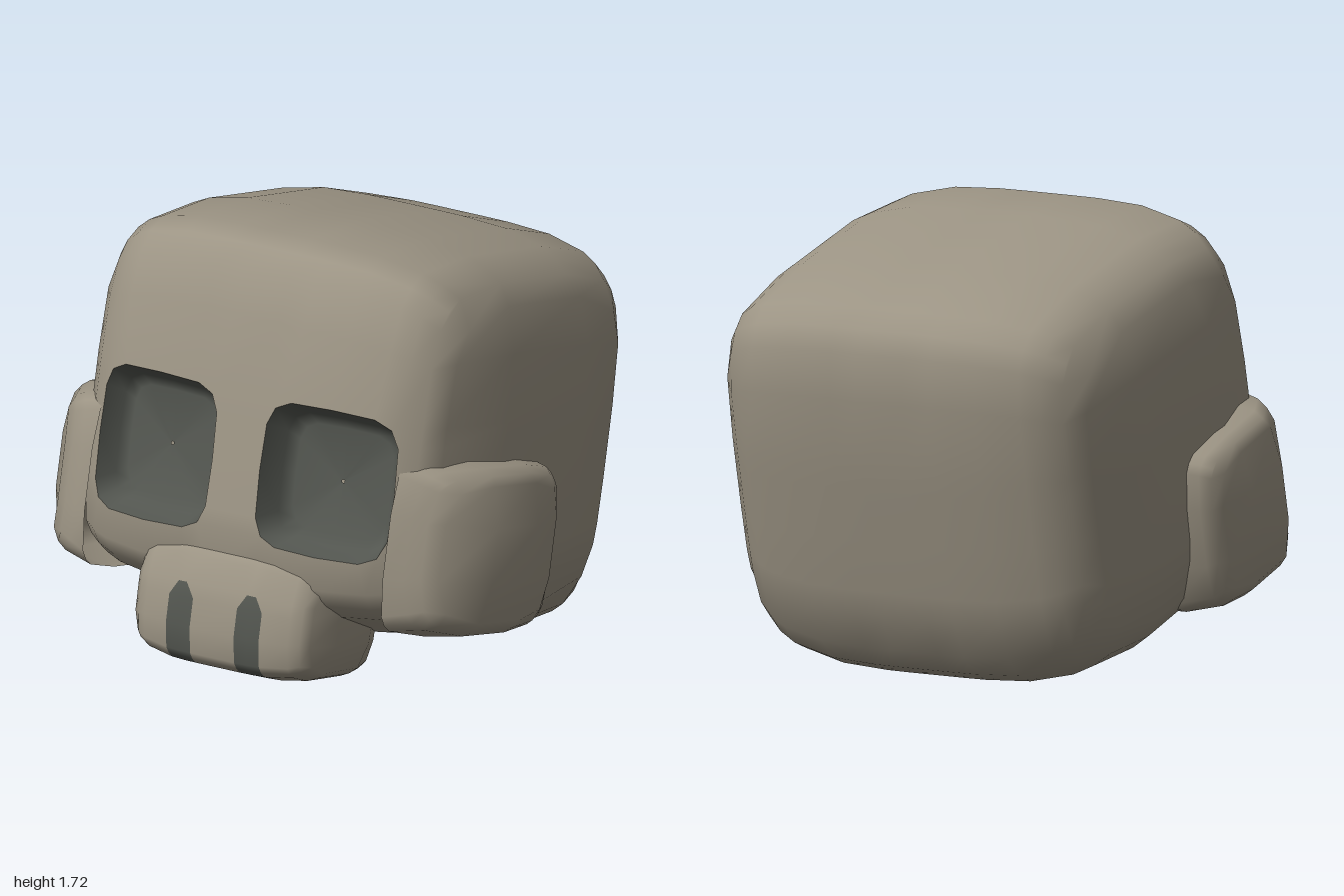
import * as THREE from 'three';
import { mergeVertices } from 'three/addons/utils/BufferGeometryUtils.js';

const BOX = [-1, -0.82, -0.35, 0.35, 0.82, 1];
const powSum = (a, b, n) => Math.pow(Math.abs(a) ** n + Math.abs(b) ** n, 1 / n);

// Bulging box with rounded edges, made from grid levels on each axis.
// adjust(p, id) moves a unit vertex, place(p) a finished one,
// sort(ids, points) gives 0 = bone, 1 = dark, -1 = left open.
function softBox({ lx = BOX, ly = BOX, lz = BOX, half, center, round = 5, adjust, place, sort }) {
  const seg = [lx.length - 1, ly.length - 1, lz.length - 1];
  const box = new THREE.BoxGeometry(2, 2, 2, ...seg);
  const pos = box.attributes.position;
  const ids = [], points = [];
  for (let i = 0; i < pos.count; i++) {
    const id = [pos.getX(i), pos.getY(i), pos.getZ(i)].map((v, k) => Math.round((v + 1) / 2 * seg[k]));
    const p = new THREE.Vector3(lx[id[0]], ly[id[1]], lz[id[2]]);
    const m = Math.max(Math.abs(p.y), Math.abs(p.z));
    const q = powSum(p.y, p.z, round);
    if (q > 0) { p.y *= m / q; p.z *= m / q; }
    p.divideScalar(powSum(p.x, m, 4));
    if (adjust) adjust(p, id);
    p.multiply(half).add(center);
    if (place) place(p);
    pos.setXYZ(i, p.x, p.y, p.z);
    ids.push(id);
    points.push(p);
  }
  const sets = [[], []];
  for (let t = 0; t < box.index.count; t += 3) {
    const tri = [0, 1, 2].map(k => box.index.getX(t + k));
    const kind = sort ? sort(tri.map(v => ids[v]), tri.map(v => points[v])) : 0;
    if (kind >= 0) sets[kind].push(...tri);
  }
  box.setIndex([...sets[0], ...sets[1]]);
  box.clearGroups();
  box.addGroup(0, sets[0].length, 0);
  if (sets[1].length) box.addGroup(sets[0].length, sets[1].length, 1);
  box.deleteAttribute('uv');
  box.deleteAttribute('normal');
  const geo = mergeVertices(box);
  geo.computeVertexNormals();
  return geo;
}

export function createModel() {
  const bone = new THREE.MeshStandardMaterial({ color: 0x9c9484, side: THREE.DoubleSide });
  bone.name = 'bone';
  const dark = new THREE.MeshStandardMaterial({ color: 0x535650, side: THREE.DoubleSide });
  dark.name = 'dark hollow';

  const model = new THREE.Group();
  model.name = 'skull';
  const head = new THREE.Group();
  head.name = 'tiltedHead';
  head.rotation.x = -0.227;
  model.add(head);
  const add = (name, geo, mat) => {
    const mesh = new THREE.Mesh(geo, mat);
    mesh.name = name;
    head.add(mesh);
  };

  // Cranium, with two rounded-square eye openings in its front
  const half = new THREE.Vector3(0.86, 0.79, 0.787);
  const center = new THREE.Vector3(0, 0.85, 0.147);
  const T = [-1, -0.65, 0, 0.65, 1];
  const eyePoint = (side, a, b, k = 1) => {
    const r = k * Math.max(Math.abs(a), Math.abs(b)) / (powSum(a, b, 5) || 1);
    const x = side * 0.446 + 0.322 * a * r, y = -0.17 + 0.36 * b * r;
    const z = ((1 - x ** 4) ** 1.25 - Math.abs(y) ** 5) ** 0.2;
    return new THREE.Vector3(x, y, z);
  };
  const eyeOf = id => {
    if (id[2] !== 5 || id[1] < 2 || id[1] > 6 || id[0] < 1 || id[0] > 10) return 0;
    return id[0] < 6 ? -1 : 1;
  };
  add('cranium', softBox({
    lx: [-1, -0.85, -0.72, -0.48, -0.25, -0.117, 0.117, 0.25, 0.48, 0.72, 0.85, 1],
    ly: [-1, -0.8, -0.56, -0.44, -0.18, 0.09, 0.2, 0.55, 0.82, 1],
    half, center,
    adjust(p, id) {
      const eye = eyeOf(id);
      if (eye) p.copy(eyePoint(eye, T[id[0] - (eye < 0 ? 1 : 6)], T[id[1] - 2]));
      else if (p.y < -0.6 && p.z > 0) p.y += (-0.6 - p.y) * 0.4 * p.z;
    },
    sort(ids) {
      const e = ids.map(eyeOf);
      return e[0] && e[0] === e[1] && e[0] === e[2] ? -1 : 0;
    },
  }), bone);

  // Eye sockets: rings running from the opening back to a shallow floor
  const rim = [];
  for (let i = 0; i < 4; i++) rim.push([T[i], -1]);
  for (let i = 0; i < 4; i++) rim.push([1, T[i]]);
  for (let i = 4; i > 0; i--) rim.push([T[i], 1]);
  for (let i = 4; i > 0; i--) rim.push([-1, T[i]]);
  const rings = [[1, 0], [0.86, 0.1], [0.72, 0.135], [0.02, 0.15]];
  for (const side of [-1, 1]) {
    const verts = [], index = [], n = rim.length;
    rings.forEach(([k, depth], r) => rim.forEach(([a, b], i) => {
      const p = eyePoint(side, a, b, k).multiply(half).add(center);
      verts.push(p.x, p.y, p.z - depth);
      if (r === 0) return;
      const j = (i + 1) % n, o = (r - 1) * n, c = r * n;
      index.push(o + i, o + j, c + j, o + i, c + j, c + i);
    }));
    const geo = new THREE.BufferGeometry();
    geo.setAttribute('position', new THREE.Float32BufferAttribute(verts, 3));
    geo.setIndex(index);
    geo.computeVertexNormals();
    add(side > 0 ? 'leftEyeSocket' : 'rightEyeSocket', geo, dark);
  }

  // Cheekbones, tapering forward and sunk into the cranium
  for (const side of [-1, 1]) {
    add(side > 0 ? 'leftCheekbone' : 'rightCheekbone', softBox({
      half: new THREE.Vector3(0.38, 0.355, 0.41),
      center: new THREE.Vector3(side * 0.62, 0.525, 0.47),
      place(p) {
        const front = Math.max(0, (p.z - 0.47) / 0.41);
        p.x = side * Math.max(0.67, side * p.x - 0.2 * front * front);
      },
      sort: (ids, pts) => pts.every(p => Math.abs(p.x) < 0.6701) ? -1 : 0,
    }), bone);
  }

  // Upper jaw, with two dark grooves down the front and along the underside
  const inGroove = ids => [2, 5].some(c => ids.every(id => id[0] >= c && id[0] <= c + 2));
  add('upperJaw', softBox({
    lx: [-1, -0.82, -0.49, -0.36, -0.23, 0.23, 0.36, 0.49, 0.82, 1],
    ly: [-1, -0.82, -0.35, 0.1, 0.33, 0.82, 1],
    lz: [-1, -0.82, -0.5, 0.35, 0.82, 1],
    half: new THREE.Vector3(0.43, 0.25, 0.305),
    center: new THREE.Vector3(0, 0.16, 0.655),
    round: 4,
    adjust(p, id) {
      // narrow both ends of each groove
      const end = (id[2] === 5 && id[1] === 4) || (id[1] === 0 && id[2] === 2);
      if (end && [2, 4, 5, 7].includes(id[0])) p.x += (Math.sign(p.x) * 0.36 - p.x) * 0.65;
    },
    sort(ids) {
      const front = ids.every(id => id[2] === 5 && id[1] <= 4);
      const under = ids.every(id => id[1] === 0 && id[2] >= 2);
      return inGroove(ids) && (front || under) ? 1 : 0;
    },
  }), [bone, dark]);

  return model;
}
